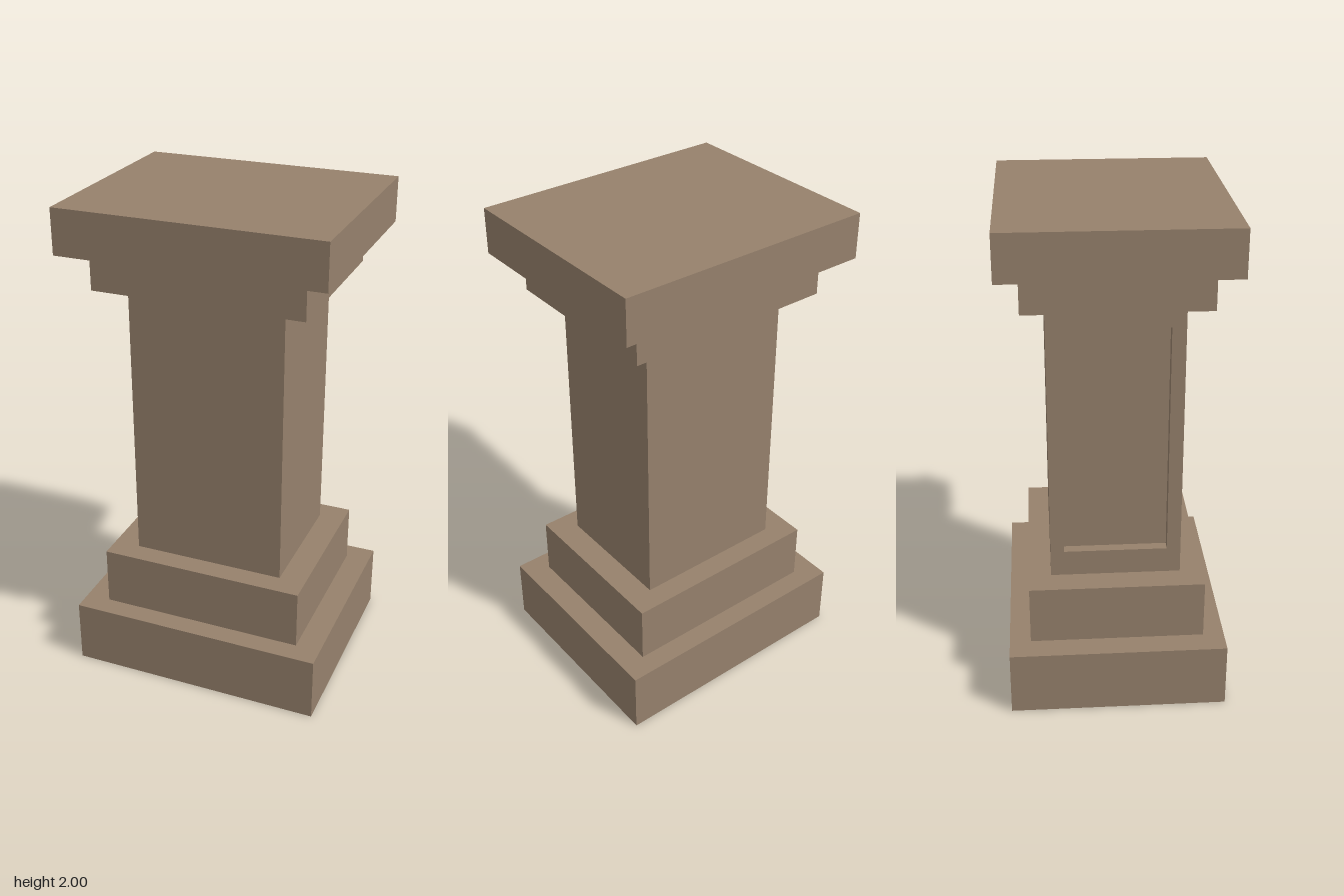
import * as THREE from 'three';

export function createModel() {
  const model = new THREE.Group();
  model.name = 'pedestal';
  const stone = new THREE.MeshStandardMaterial({ color: 0x96816c });
  stone.name = 'brown stone';

  const add = (name, geometry) => {
    const mesh = new THREE.Mesh(geometry, stone);
    mesh.name = name;
    model.add(mesh);
    return mesh;
  };

  // Stepped slabs of the base and the cap: name, width, depth, bottom, top
  const slabs = [
    ['basePlinth', 1.048, 0.873, 0, 0.268],
    ['baseStep', 0.845, 0.703, 0.268, 0.512],
    ['capStep', 0.845, 0.703, 1.67, 1.82],
    ['capSlab', 1.048, 0.873, 1.82, 2],
  ];
  for (const [name, w, d, y0, y1] of slabs) {
    add(name, new THREE.BoxGeometry(w, y1 - y0, d)).position.y = (y0 + y1) / 2;
  }

  // Shaft, with its right side (-x) set back behind a frame
  const halfW = 0.315, halfD = 0.262, bottom = 0.512, top = 1.67, recess = 0.042;
  const shaft = add('shaft', new THREE.BoxGeometry(2 * halfW - recess, top - bottom, 2 * halfD));
  shaft.position.set(recess / 2, (bottom + top) / 2, 0);

  // Rectangular frame around the sunken panel
  const rect = (path, w, y0, y1) =>
    path.moveTo(-w, y0).lineTo(w, y0).lineTo(w, y1).lineTo(-w, y1).closePath();
  const outline = new THREE.Shape();
  rect(outline, halfD, bottom, top);
  const opening = new THREE.Path();
  rect(opening, 0.207, 0.62, 1.57);
  outline.holes.push(opening);
  const frame = add('panelFrame', new THREE.ExtrudeGeometry(outline, { depth: recess, bevelEnabled: false }));
  frame.rotation.y = -Math.PI / 2;
  frame.position.x = -halfW + recess;

  return model;
}
